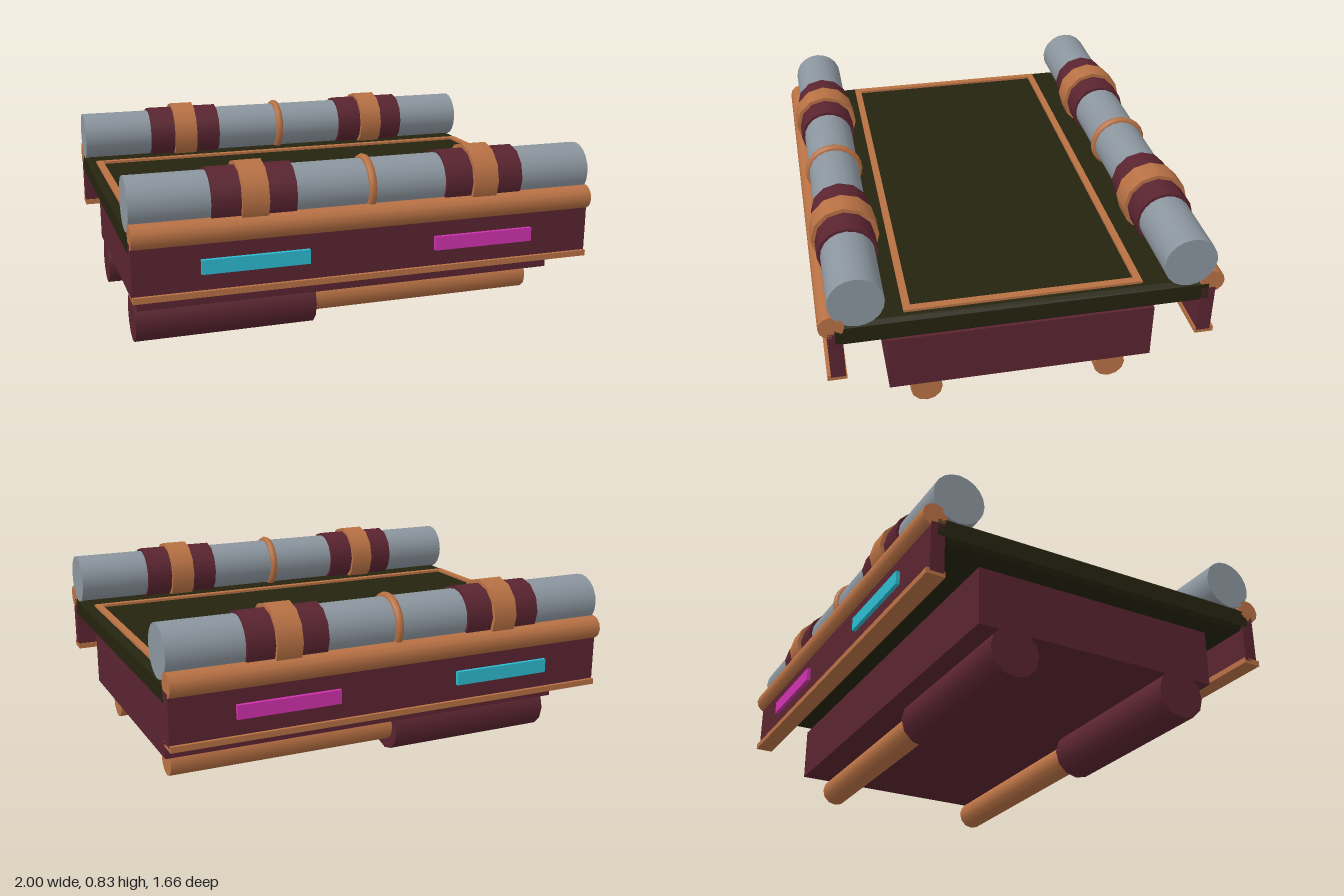
import * as THREE from 'three';

const material = (name, color) => {
  const m = new THREE.MeshStandardMaterial({ color });
  m.name = name;
  return m;
};

export function createModel() {
  const maroon = material('maroon', 0x5a2430);
  const copper = material('copper', 0xb87144);
  const steel = material('steel grey', 0x8b959e);
  const olive = material('dark olive', 0x25240f);
  const cyan = material('cyan', 0x2dbbd0);
  const magenta = material('magenta', 0xd032ae);

  const model = new THREE.Group();
  model.name = 'platform';

  const add = (name, geometry, mat, x, y, z, parent = model) => {
    const mesh = new THREE.Mesh(geometry, mat);
    mesh.name = name;
    mesh.position.set(x, y, z);
    parent.add(mesh);
    return mesh;
  };
  const box = (w, h, d) => new THREE.BoxGeometry(w, h, d);
  // Cylinder lying along x
  const rod = (r, length, sides) => new THREE.CylinderGeometry(r, r, length, sides).rotateZ(Math.PI / 2);
  const rectangle = (Type, x, z) => new Type([
    new THREE.Vector2(-x, -z), new THREE.Vector2(x, -z),
    new THREE.Vector2(x, z), new THREE.Vector2(-x, z),
  ]);

  // Deck slab with small bevels all round
  const bevel = 0.017;
  const deck = new THREE.ExtrudeGeometry(rectangle(THREE.Shape, 1 - bevel, 0.765 - bevel), {
    depth: 0.107 - 2 * bevel, bevelEnabled: true, bevelSegments: 1,
    bevelSize: bevel, bevelThickness: bevel,
  }).rotateX(-Math.PI / 2);
  add('deck', deck, olive, 0, 0.48 + bevel, 0);

  // Inlaid frame on the deck
  const frame = rectangle(THREE.Shape, 0.965, 0.49);
  frame.holes.push(rectangle(THREE.Path, 0.933, 0.46));
  add('deckTrim', new THREE.ExtrudeGeometry(frame, { depth: 0.015, bevelEnabled: false })
    .rotateX(-Math.PI / 2), copper, 0, 0.583, 0);

  // Body under the deck
  add('underBody', box(1.9, 0.25, 1.12), maroon, 0, 0.315, 0);

  for (const side of [1, -1]) {
    const group = new THREE.Group();
    group.name = side > 0 ? 'frontSide' : 'backSide';
    model.add(group);

    // Skirt, its edging and the upper rail
    add('skirt', box(2, 0.22, 0.06), maroon, 0, 0.44, side * 0.765, group);
    add('skirtEdging', box(2, 0.025, 0.08), copper, 0, 0.328, side * 0.77, group);
    add('sideRail', rod(0.052, 2, 12), copper, 0, 0.58, side * 0.778, group);

    // Long tube with collars and bands
    add('tube', rod(0.112, 2, 20), steel, 0, 0.688, side * 0.675, group);
    for (const x of [-0.5, 0.5]) {
      add('collar', rod(0.126, 0.35, 12), maroon, x, 0.688, side * 0.675, group);
      add('collarBand', rod(0.143, 0.11, 12), copper, x, 0.688, side * 0.675, group);
    }
    add('middleRing', new THREE.TorusGeometry(0.112, 0.018, 8, 24).rotateY(Math.PI / 2),
      copper, 0, 0.688, side * 0.675, group);

    // Light strips
    add('cyanLight', box(0.45, 0.06, 0.02), cyan, -0.5, 0.44, side * 0.802, group);
    add('magentaLight', box(0.45, 0.06, 0.02), magenta, 0.5, 0.44, side * 0.802, group);

    // Piston below: thick sleeve and thinner shaft
    add('pistonSleeve', rod(0.109, 0.8, 12), maroon, -0.55, 0.109, side * 0.4, group);
    add('pistonShaft', rod(0.068, 1.1, 12), copper, 0.35, 0.117, side * 0.4, group);
  }

  return model;
}
